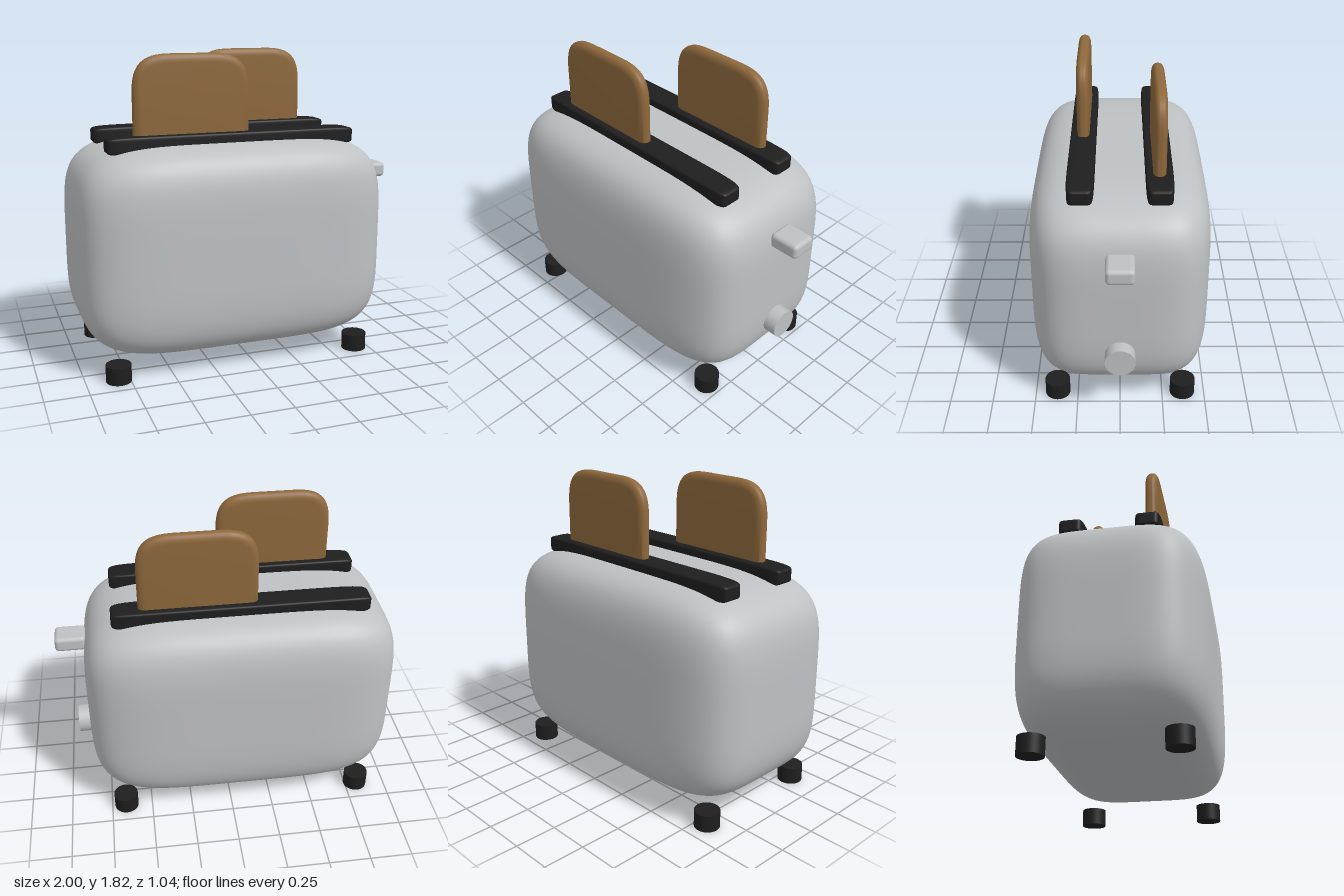
import * as THREE from 'three';
import { mergeVertices, toCreasedNormals } from 'three/addons/utils/BufferGeometryUtils.js';
import { RoundedBoxGeometry } from 'three/addons/geometries/RoundedBoxGeometry.js';

const material = (name, color) => {
  const m = new THREE.MeshStandardMaterial({ color });
  m.name = name;
  return m;
};

// Box swollen into a superellipsoid: a higher power gives tighter corners
function softBox(w, h, d, power, seg) {
  let g = new THREE.BoxGeometry(2, 2, 2, seg, seg, seg);
  g.deleteAttribute('normal');
  g.deleteAttribute('uv');
  g = mergeVertices(g);
  const p = g.attributes.position;
  const v = new THREE.Vector3();
  for (let i = 0; i < p.count; i++) {
    v.fromBufferAttribute(p, i);
    const sum = [v.x, v.y, v.z].reduce((s, c) => s + Math.abs(c) ** power, 0);
    v.multiplyScalar(sum ** (-1 / power));
    p.setXYZ(i, v.x * w / 2, v.y * h / 2, v.z * d / 2);
  }
  g.computeVertexNormals();
  return g;
}

// Bread slice: straight sides, rounded upper corners, soft rim
function sliceGeometry(width, height, depth) {
  const rim = 0.045, bevel = 0.03, w = width / 2 - rim, t = height - rim;
  const s = new THREE.Shape();
  s.moveTo(-w, 0);
  s.lineTo(w, 0);
  s.lineTo(w, t - 0.18);
  s.bezierCurveTo(w, t - 0.035, w - 0.035, t, w - 0.18, t);
  s.lineTo(-w + 0.18, t);
  s.bezierCurveTo(-w + 0.035, t, -w, t - 0.035, -w, t - 0.18);
  s.closePath();
  const g = new THREE.ExtrudeGeometry(s, {
    depth: depth - 2 * bevel, bevelEnabled: true, bevelThickness: bevel, bevelSize: rim,
    bevelSegments: 6, curveSegments: 14,
  });
  g.translate(0, 0, bevel - depth / 2);
  return toCreasedNormals(g, 0.7);
}

export function createModel() {
  const model = new THREE.Group();
  model.name = 'toaster';
  const metal = material('brushed metal', 0xbec1c3);
  const black = material('black plastic', 0x1e1e1e);
  const crust = material('toasted bread', 0x8e683c);

  const add = (name, geometry, mat, x, y, z) => {
    const mesh = new THREE.Mesh(geometry, mat);
    mesh.name = name;
    mesh.position.set(x, y, z);
    model.add(mesh);
    return mesh;
  };

  // Housing
  add('body', softBox(1.84, 1.225, 1.04, 4.8, 40), metal, -0.08, 0.71, 0);

  // Slot surrounds, each with a slice standing in it
  const slot = softBox(1.48, 0.104, 0.152, 9, 24);
  const slice = sliceGeometry(0.676, 0.5, 0.072);
  for (const [side, z, x] of [['front', 0.215, -0.325], ['back', -0.215, 0.167]]) {
    add(side + 'Slot', slot, black, -0.08, 1.319, z);
    add(side + 'Slice', slice, crust, x, 1.315, z);
  }

  // Controls on the end face
  add('lever', new RoundedBoxGeometry(0.18, 0.09, 0.154, 4, 0.024), metal, 0.91, 1.05, 0);
  const knob = new THREE.CylinderGeometry(0.085, 0.085, 0.08, 32);
  knob.rotateZ(-Math.PI / 2);
  add('knob', knob, metal, 0.876, 0.432, 0);

  // Feet
  const foot = new THREE.CylinderGeometry(0.073, 0.073, 0.1, 32);
  for (const x of [-0.815, 0.66]) {
    for (const z of [-0.37, 0.37]) add('foot', foot, black, x, 0.05, z);
  }
  return model;
}
